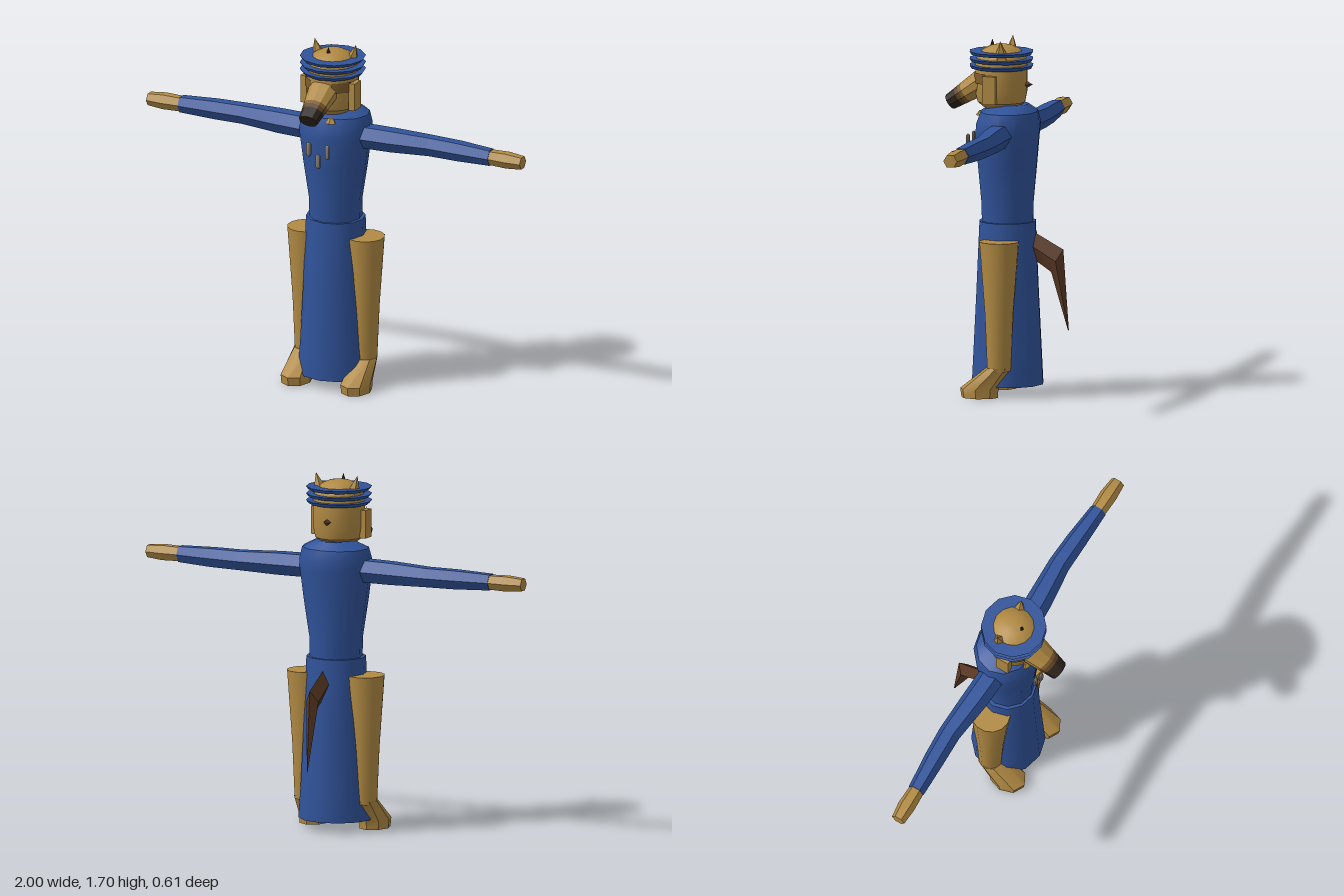
import * as THREE from 'three';
import { toCreasedNormals } from 'three/addons/utils/BufferGeometryUtils.js';

const material = (name, color) => new THREE.MeshStandardMaterial({ name, color });

// Skin through rings [y, rx, rz, centreX, centreZ, tilt], closed at both ends.
function loft(rings, sides) {
  const pos = [], idx = [];
  rings.forEach(([y, rx, rz, cx = 0, cz = 0, tilt = 0]) => {
    for (let j = 0; j < sides; j++) {
      const a = (j / sides) * Math.PI * 2;
      pos.push(cx + rx * Math.sin(a), y + tilt * Math.cos(a), cz + rz * Math.cos(a));
    }
  });
  const last = (rings.length - 1) * sides;
  for (let j = 0; j < sides; j++) {
    const k = (j + 1) % sides;
    for (let b = 0; b < last; b += sides) {
      idx.push(b + j, b + k, b + sides + k, b + j, b + sides + k, b + sides + j);
    }
    if (j > 0 && j < sides - 1) idx.push(0, k, j, last, last + j, last + k);
  }
  const g = new THREE.BufferGeometry();
  g.setAttribute('position', new THREE.Float32BufferAttribute(pos, 3));
  g.setIndex(idx);
  return g;
}

export function createModel() {
  const model = new THREE.Group();
  model.name = 'robedFigure';
  const fur = material('tanFur', 0xb18a43);
  const cloth = material('blueCloth', 0x30539a);
  const brown = material('tailBrown', 0x5c3a25);
  const shade = material('shadedFur', 0x7d5c2c);
  const band = material('muzzleBrown', 0x5f4426);
  const dark = material('noseDark', 0x2e241c);
  const grey = material('greyPendant', 0x847b74);

  function add(name, geometry, mat, x = 0, y = 0, z = 0, parent = model) {
    const mesh = new THREE.Mesh(toCreasedNormals(geometry, 0.6), mat);
    mesh.name = name;
    mesh.position.set(x, y, z);
    parent.add(mesh);
    return mesh;
  }

  // Robe
  add('robeSkirt', loft([[0.05, 0.182, 0.174], [0.2, 0.17, 0.167], [0.5, 0.155, 0.152], [0.83, 0.143, 0.137]], 12), cloth);
  add('robeTorso', loft([
    [0.8, 0.125, 0.125], [0.92, 0.127, 0.128], [1.1, 0.157, 0.143],
    [1.25, 0.178, 0.155], [1.3, 0.178, 0.155, 0, -0.005], [1.355, 0.165, 0.137, 0, -0.008], [1.39, 0.095, 0.08, 0, -0.02],
  ], 12), cloth);

  // Head, centred slightly forward
  const hz = 0.03;
  add('neck', new THREE.CylinderGeometry(0.085, 0.085, 0.1, 12), fur, 0, 1.37, 0.01);
  add('head', loft([
    [1.37, 0.08, 0.08], [1.4, 0.115, 0.115], [1.45, 0.125, 0.125], [1.58, 0.126, 0.126],
    [1.62, 0.118, 0.118], [1.65, 0.09, 0.09], [1.668, 0.052, 0.052], [1.677, 0.004, 0.004],
  ], 14), fur, 0, 0, hz);

  // Wrapped headband
  [1.568, 1.6, 1.634].forEach((y) => {
    add('headbandRing', loft([[-0.008, 0.145, 0.145], [0.008, 0.158, 0.155]], 12), cloth, 0, y, hz);
  });

  // Muzzle in bands, pointing forward and down
  const muzzle = new THREE.Group();
  muzzle.name = 'muzzle';
  muzzle.position.set(0, 1.492, 0.12);
  muzzle.rotation.x = Math.PI / 2 + 0.575;
  muzzle.scale.x = 1.25;
  model.add(muzzle);
  const radius = (d) => 0.062 - 0.12 * d;
  [['muzzleBase', 0, 0.1, fur], ['muzzleUpperBand', 0.1, 0.118, shade],
    ['muzzleLowerBand', 0.118, 0.138, band], ['muzzleTip', 0.138, 0.194, dark]].forEach(([name, a, b, mat]) => {
    add(name, loft([[a, radius(a), radius(a)], [b, radius(b), radius(b)]], 10), mat, 0, 0, 0, muzzle);
  });

  // Small tufts on the crown and the back of the head
  add('crownTuft', new THREE.ConeGeometry(0.012, 0.035, 4), dark, 0, 1.68, 0.075);
  add('backTuft', new THREE.ConeGeometry(0.022, 0.04, 4), brown, 0, 1.485, -0.105).rotation.x = -Math.PI / 2;

  // Tail
  add('tail', loft([
    [0.72, 0.03, 0, 0, -0.12, 0.065], [0.645, 0.032, -0.03, 0, -0.245, 0.055], [0.315, 0.002, -0.002, 0, -0.3, 0.002],
  ], 4), brown);

  // Pendants
  [[-0.05, 1.208], [0, 1.153], [0.05, 1.208]].forEach(([x, y]) => {
    add('pendant', new THREE.CapsuleGeometry(0.014, 0.046, 3, 8), grey, x, y, 0.181).scale.z = 0.7;
  });

  // Mirrored parts
  for (const s of [1, -1]) {
    const side = s > 0 ? 'left' : 'right';

    // Arm runs along the side axis, bent slightly back at the elbow
    const arm = new THREE.Group();
    arm.name = side + 'Arm';
    arm.position.y = 1.252;
    arm.rotation.z = -s * Math.PI / 2;
    model.add(arm);
    add(side + 'UpperSleeve', loft([[0.12, 0.061, 0.064], [0.3, 0.06, 0.062, 0, -0.008], [0.5, 0.052, 0.053, 0, -0.022]], 6), cloth, 0, 0, 0, arm);
    add(side + 'LowerSleeve', loft([[0.5, 0.052, 0.053, 0, -0.022], [0.65, 0.051, 0.05, 0, -0.016], [0.83, 0.043, 0.041, 0, -0.006]], 6), cloth, 0, 0, 0, arm);
    add(side + 'Hand', loft([[0.82, 0.038, 0.038, 0, -0.006], [0.92, 0.041, 0.042, 0, -0.005], [1, 0.033, 0.034, 0, -0.002]], 6), fur, 0, 0, 0, arm);

    // Leg and foot
    add(side + 'Leg', loft([[0.13, 0.057, 0.057], [0.4, 0.069, 0.068], [0.75, 0.093, 0.095]], 14), fur, s * 0.157, 0, -0.003);
    add(side + 'Foot', loft([
      [0, 0.07, 0.09, 0, 0.092], [0.042, 0.073, 0.094, 0, 0.094], [0.145, 0.059, 0.06, 0, -0.002],
    ], 8), fur, s * 0.16);

    // Ear, cheek plate, eye patch and collar piece
    add(side + 'Ear', new THREE.ConeGeometry(0.044, 0.11, 5), fur, s * 0.097, 1.65, 0.005).rotation.z = -s * 0.25;
    add(side + 'CheekPlate', new THREE.BoxGeometry(0.032, 0.135, 0.066), fur, s * 0.129, 1.468, 0.053);
    const mid = s * 0.82;
    add(side + 'EyePatch', new THREE.CylinderGeometry(0.129, 0.129, 0.05, 8, 1, true, mid - 0.38, 0.76), shade, 0, 1.517, hz);
    add(side + 'CollarPiece', new THREE.CylinderGeometry(0.014, 0.03, 0.022, 6), fur, s * 0.038, 1.346, 0.115);
  }
  return model;
}
